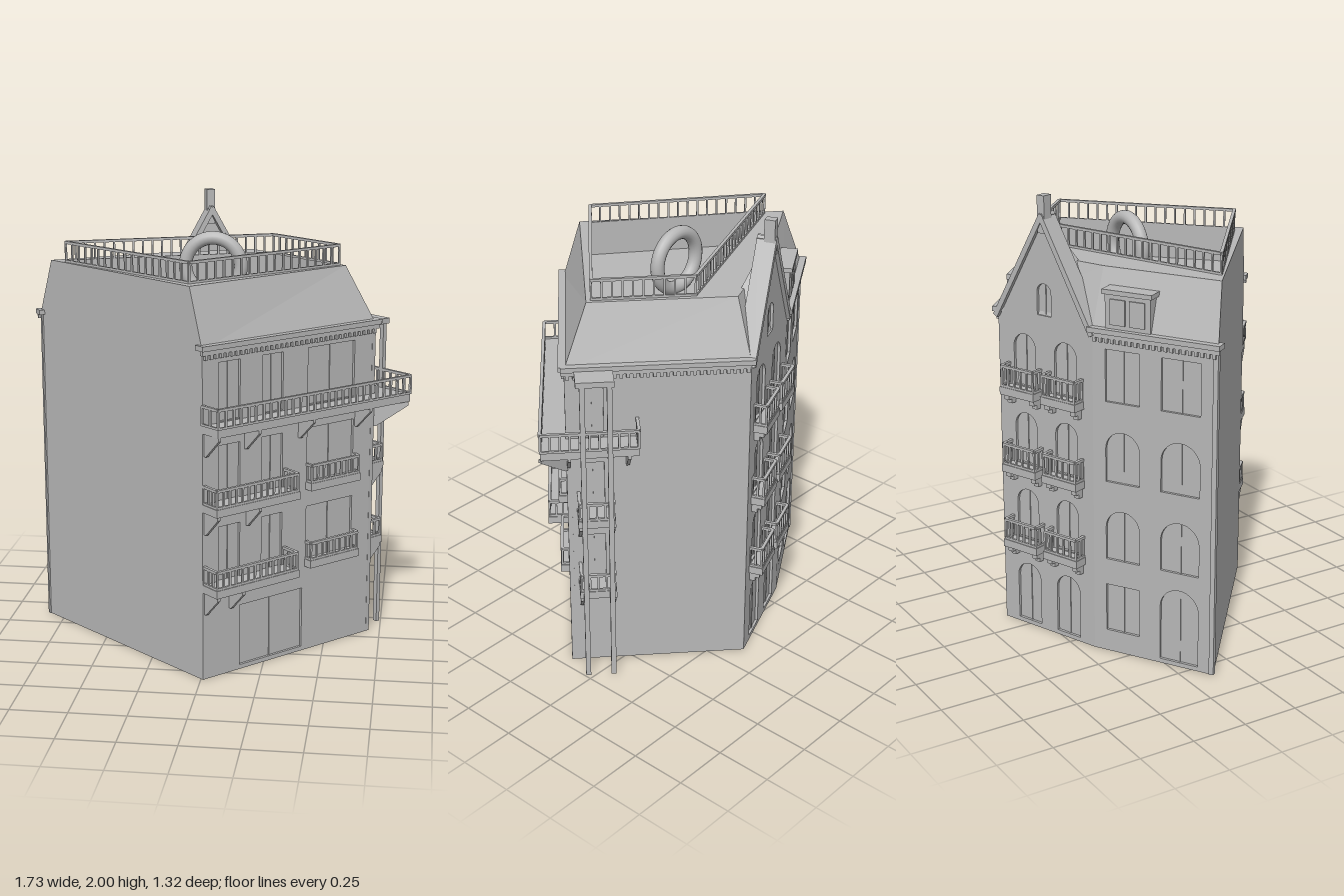
import * as THREE from 'three';
import { mergeGeometries } from 'three/addons/utils/BufferGeometryUtils.js';

const stone = new THREE.MeshStandardMaterial({ color: 0xb8b8b8, side: THREE.DoubleSide });
stone.name = 'grey stone';

// Plan corners as [x, z]: front, right, back, gable end, left
const PLAN = [[0.01, 0.59], [0.70, -0.09], [0.13, -0.62], [-0.35, -0.43], [-0.84, -0.13]];
const ROOF = [[-0.05, 0.54], [0.56, -0.09], [0.10, -0.515], [-0.31, -0.35], [-0.77, -0.07]];
const WELL = [[-0.06, 0.48], [0.53, -0.09], [0.21, -0.38], [-0.69, -0.02]];
const EAVE = 1.46, DECK = 1.57, TOP = 1.72;

function add(parent, geo, name) {
  const m = new THREE.Mesh(geo, stone);
  m.name = name;
  parent.add(m);
  return m;
}

// Box given by its limits on each axis
function box(x0, x1, y0, y1, z0, z1) {
  return new THREE.BoxGeometry(x1 - x0, y1 - y0, z1 - z0)
    .translate((x0 + x1) / 2, (y0 + y1) / 2, (z0 + z1) / 2);
}

// Flat-sided band between two rings with the same number of corners
function band(a, ya, b, yb, skip = []) {
  const v = [];
  a.forEach((p, i) => {
    if (skip.includes(i)) return;
    const j = (i + 1) % a.length;
    const A = [p[0], ya, p[1]], B = [a[j][0], ya, a[j][1]];
    const C = [b[j][0], yb, b[j][1]], D = [b[i][0], yb, b[i][1]];
    v.push(...A, ...B, ...C, ...A, ...C, ...D);
  });
  const g = new THREE.BufferGeometry();
  g.setAttribute('position', new THREE.Float32BufferAttribute(v, 3));
  g.computeVertexNormals();
  return g;
}

const planShape = pts => new THREE.Shape(pts.map(([x, z]) => new THREE.Vector2(x, -z)));

// Horizontal slab over a plan outline
function slab(pts, y0, y1) {
  return new THREE.ExtrudeGeometry(planShape(pts), { depth: y1 - y0, bevelEnabled: false })
    .rotateX(-Math.PI / 2).translate(0, y0, 0);
}

// Top rail, foot rail and bars along a path of [x, z] points
function railing(parent, pts, y0, y1, step = 0.033, bar = 0.009) {
  const parts = [];
  for (let i = 0; i + 1 < pts.length; i++) {
    const [ax, az] = pts[i], dx = pts[i + 1][0] - ax, dz = pts[i + 1][1] - az;
    const len = Math.hypot(dx, dz), n = Math.max(1, Math.round(len / step));
    const seg = [box(0, len, y1 - 0.012, y1, -0.007, 0.007), box(0, len, y0, y0 + 0.01, -0.005, 0.005)];
    for (let k = 0; k <= n; k++) {
      const x = len * k / n;
      seg.push(box(x - bar / 2, x + bar / 2, y0, y1 - 0.006, -bar / 2, bar / 2));
    }
    parts.push(mergeGeometries(seg).rotateY(Math.atan2(-dz, dx)).translate(ax, 0, az));
  }
  add(parent, mergeGeometries(parts), 'railing');
}

// Triangular bracket against a wall, under height y
function bracket(parent, x, y, depth, h) {
  const s = new THREE.Shape([[0, 0], [depth, 0], [depth, -0.015], [0.012, -h], [0, -h]]
    .map(p => new THREE.Vector2(...p)));
  const g = new THREE.ExtrudeGeometry(s, { depth: 0.014, bevelEnabled: false });
  add(parent, g.rotateY(-Math.PI / 2).translate(x + 0.007, y, 0), 'bracket');
}

function balcony(parent, x0, x1, y, depth, h, brackets, drop) {
  const b = new THREE.Group();
  b.name = 'balcony';
  parent.add(b);
  add(b, box(x0, x1, y - 0.035, y, -0.01, depth), 'balconyFloor');
  const e = 0.008;
  railing(b, [[x0 + e, 0], [x0 + e, depth - e], [x1 - e, depth - e], [x1 - e, 0]], y, y + h);
  brackets.forEach(x => bracket(b, x, y - 0.035, depth * 0.95, drop));
}

// Outline of an opening, with a round or flat head
function openingPath([x0, x1, y0, y1, arch]) {
  const p = new THREE.Path(), r = (x1 - x0) / 2;
  p.moveTo(x0, y0);
  p.lineTo(x1, y0);
  if (arch) p.absarc(x0 + r, y1 - r, r, 0, Math.PI, false);
  else p.lineTo(x1, y1).lineTo(x0, y1);
  p.closePath();
  return p;
}

// Wall i as a group: local x runs along the wall, local z points outwards
function makeWall(root, i, name, openings, peak) {
  const [ax, az] = PLAN[i], [bx, bz] = PLAN[(i + 1) % 5];
  const len = Math.hypot(bx - ax, bz - az);
  const g = new THREE.Group();
  g.name = name;
  g.position.set(ax, 0, az);
  g.rotation.y = Math.atan2(-(bz - az), bx - ax);
  root.add(g);
  const s = new THREE.Shape();
  s.moveTo(0, 0).lineTo(len, 0).lineTo(len, EAVE);
  if (peak) s.lineTo(len / 2, peak);
  s.lineTo(0, EAVE);
  s.holes = openings.map(openingPath);
  add(g, new THREE.ExtrudeGeometry(s, { depth: 0.02, bevelEnabled: false, curveSegments: 8 })
    .translate(0, 0, -0.02), name + 'Face');
  // Recessed panes with a centre mullion
  openings.forEach(([x0, x1, y0, y1]) => {
    const c = (x0 + x1) / 2;
    add(g, box(x0, x1, y0, y1, -0.019, -0.012), 'pane');
    add(g, box(c - 0.004, c + 0.004, y0, y1, -0.013, -0.008), 'mullion');
  });
  return { g, len };
}

// Eaves moulding with a row of small blocks beneath
function cornice({ g, len }) {
  const parts = [box(-0.01, len + 0.01, 1.44, 1.46, 0, 0.014), box(-0.015, len + 0.015, 1.46, 1.482, -0.03, 0.024)];
  const n = Math.round(len / 0.028);
  for (let k = 0; k < n; k++) {
    const x = len * (k + 0.5) / n;
    parts.push(box(x - 0.007, x + 0.007, 1.42, 1.441, 0, 0.012));
  }
  add(g, mergeGeometries(parts), 'cornice');
}

export function createModel() {
  const root = new THREE.Group();
  root.name = 'cornerBuilding';

  // Walls
  const floors = [0.42, 0.78, 1.14];
  const frontOpenings = [[0.2, 0.555, 0.02, 0.3]];
  floors.forEach(y => [[0.085, 0.2], [0.32, 0.435], [0.575, 0.845]]
    .forEach(([a, b]) => frontOpenings.push([a, b, y + 0.005, y + 0.26])));
  const front = makeWall(root, 0, 'balconyWall', frontOpenings);
  const side = makeWall(root, 1, 'sideWall', floors.map(y => [0.07, 0.16, y + 0.005, y + 0.24]));
  const gableOpenings = [[0.08, 0.21, 0.02, 0.3, true], [0.305, 0.435, 0.02, 0.3, true], [0.22, 0.296, 1.48, 1.62, true]];
  floors.forEach(y => [[0.085, 0.205], [0.31, 0.43]]
    .forEach(([a, b]) => gableOpenings.push([a, b, y + 0.005, y + 0.24, true])));
  const gable = makeWall(root, 2, 'gableWall', gableOpenings, 1.9);
  const backOpenings = [[0.32, 0.5, 0.02, 0.36, true], [0.06, 0.22, 0.1, 0.32]];
  floors.forEach((y, k) => [[0.06, 0.22], [0.32, 0.5]]
    .forEach(([a, b]) => backOpenings.push([a, b, y + 0.02, y + 0.25, k < 2])));
  const back = makeWall(root, 3, 'archedWall', backOpenings);
  makeWall(root, 4, 'partyWall', []);
  [front, side, back].forEach(cornice);

  // Base, sloping roof, flat rim, and sunken terrace
  add(root, new THREE.ShapeGeometry(planShape(PLAN)).rotateX(-Math.PI / 2), 'base');
  add(root, band(PLAN, EAVE, ROOF, TOP), 'slopingRoof');
  const rim = planShape(ROOF);
  rim.holes.push(new THREE.Path(WELL.map(([x, z]) => new THREE.Vector2(x, -z))));
  add(root, new THREE.ShapeGeometry(rim).rotateX(-Math.PI / 2).translate(0, TOP, 0), 'roofRim');
  add(root, band(WELL, TOP, WELL, DECK), 'terraceWalls');
  add(root, new THREE.ShapeGeometry(planShape(WELL)).rotateX(-Math.PI / 2).translate(0, DECK, 0), 'terraceFloor');
  railing(root, [...WELL, WELL[0]], TOP, 1.815, 0.045, 0.008);
  add(root, new THREE.TorusGeometry(0.125, 0.03, 16, 40), 'terraceRing').position.set(-0.03, 1.71, -0.065);

  // Gable coping and finial
  const h = gable.len / 2, slope = Math.atan2(0.46, h);
  [-1, 1].forEach(d => {
    const c = add(gable.g, new THREE.BoxGeometry(Math.hypot(h, 0.46) + 0.02, 0.024, 0.085), 'gableCoping');
    c.position.set(h + d * h / 2, 1.68, -0.025);
    c.rotation.z = -d * slope;
  });
  add(gable.g, box(h - 0.019, h + 0.019, 1.84, 2.0, -0.035, 0.012), 'finial');

  // Gable roof running back into the main slope
  const gr = new THREE.BufferGeometry();
  gr.setAttribute('position', new THREE.Float32BufferAttribute([
    0, EAVE, 0, h, 1.9, -0.03, h - 0.11, TOP, -0.1, h, 1.9, -0.03, 2 * h, EAVE, 0, h + 0.11, TOP, -0.1], 3));
  gr.computeVertexNormals();
  add(gable.g, gr, 'gableRoof');

  // Long balcony wrapping the right corner
  const wrap = [[0.01, 0.59], [0.085, 0.655], [0.86, -0.10], [0.555, -0.375], [0.48, -0.295]];
  add(root, slab([...wrap, [0.70, -0.09]], 1.105, 1.14), 'longBalconyFloor');
  railing(root, wrap, 1.14, 1.23, 0.04, 0.01);
  [0.015, 0.23, 0.53, 0.86].forEach(x => bracket(front.g, x, 1.105, 0.1, 0.1));
  [0.01, 0.26].forEach(x => bracket(side.g, x, 1.105, 0.11, 0.1));
  const corner = new THREE.Group();
  corner.name = 'cornerBracket';
  corner.position.set(0.70, 0, -0.09);
  corner.rotation.y = Math.PI / 2;
  root.add(corner);
  bracket(corner, 0, 1.105, 0.155, 0.115);

  // Smaller balconies on the front
  balcony(front.g, 0, 0.456, 0.795, 0.1, 0.085, [0.015, 0.24], 0.1);
  balcony(front.g, 0, 0.456, 0.435, 0.1, 0.085, [0.015, 0.15], 0.1);
  [0.795, 0.435].forEach(y => balcony(front.g, 0.57, 0.86, y, 0.04, 0.085, [], 0));

  // Side landings carried on two tall posts
  [0.795, 0.435].forEach(y => balcony(side.g, 0.04, 0.2, y, 0.11, 0.085, [0.05, 0.19], 0.1));
  add(side.g, box(0.04, 0.2, 1.44, 1.465, 0, 0.125), 'landingRoof');
  [0.067, 0.18].forEach(x => add(side.g, box(x - 0.011, x + 0.011, 0, 1.45, 0.105, 0.125), 'landingPost'));

  // Pairs of gable balconies on stepped corbels
  floors.forEach(y => [[0.05, 0.24], [0.277, 0.467]].forEach(([a, b]) => {
    balcony(gable.g, a, b, y, 0.062, 0.1, [], 0);
    [a + 0.025, b - 0.025].forEach(x => {
      add(gable.g, box(x - 0.013, x + 0.013, y - 0.06, y - 0.03, 0, 0.045), 'corbel');
      add(gable.g, box(x - 0.013, x + 0.013, y - 0.08, y - 0.06, 0, 0.025), 'corbel');
    });
  }));

  // Dormer on the arched side
  add(back.g, box(0.06, 0.27, 1.48, 1.63, -0.085, 0), 'dormer');
  add(back.g, box(0.05, 0.28, 1.63, 1.65, -0.09, 0.012), 'dormerRoof');
  [[0.085, 0.155], [0.175, 0.245]].forEach(([a, b]) => add(back.g, box(a, b, 1.5, 1.61, 0, 0.006), 'dormerWindow'));

  return root;
}
